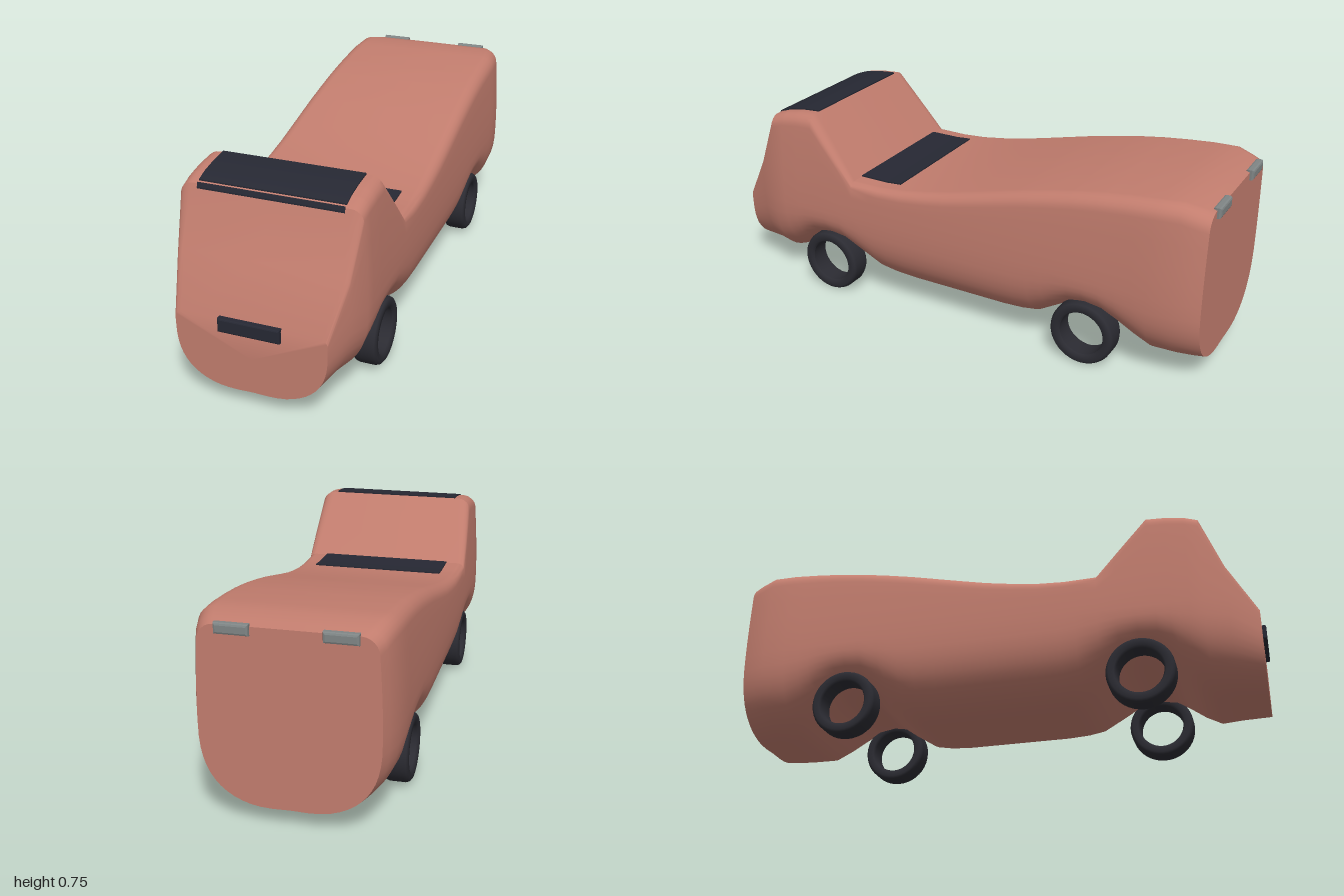
import * as THREE from 'three';
import { toCreasedNormals } from 'three/addons/utils/BufferGeometryUtils.js';

// Profiles along the length: [z, value], front to back
const TOP = [[0.985, 0.33], [0.88, 0.505], [0.8, 0.71], [0.75, 0.728], [0.68, 0.74], [0.61, 0.745], [0.42, 0.512],
  [0.3, 0.512], [0.2, 0.52], [0.1, 0.536], [0, 0.556], [-0.1, 0.58], [-0.2, 0.605], [-0.3, 0.63], [-0.4, 0.652],
  [-0.5, 0.672], [-0.6, 0.688], [-0.7, 0.7], [-0.8, 0.709], [-0.89, 0.714], [-0.985, 0.69]];
const BOTTOM = [[0.985, 0.065], [0.8, 0.065], [0.74, 0.1], [0.68, 0.15], [0.63, 0.187], [0.56, 0.2], [0.49, 0.187],
  [0.42, 0.135], [0.34, 0.082], [0.28, 0.07], [0.2, 0.065], [-0.2, 0.065], [-0.28, 0.07], [-0.34, 0.082],
  [-0.42, 0.135], [-0.49, 0.187], [-0.555, 0.2], [-0.62, 0.187], [-0.68, 0.145], [-0.74, 0.1], [-0.8, 0.065], [-0.985, 0.065]];
const WIDTH = [[0.985, 0.27], [0.8, 0.337], [0.7, 0.34], [-0.8, 0.34], [-0.89, 0.334], [-0.95, 0.318], [-0.985, 0.303]];
const CORNER = [[0.985, 0.02], [0.88, 0.025], [0.8, 0.045], [0.61, 0.05], [0.42, 0.03], [0, 0.045], [-0.985, 0.06]];

function at(profile, z) {
  for (let i = 1; i < profile.length; i++) {
    const [z0, v0] = profile[i - 1], [z1, v1] = profile[i];
    if (z >= z1) return v0 + (v1 - v0) * (z0 - z) / (z0 - z1);
  }
  return profile[profile.length - 1][1];
}

// Sides lean in towards the roof
const lean = (y) => 1 - 0.05 * Math.pow(Math.max(0, (y - 0.4) / 0.31), 1.5);

// Closed cross-section: belly curve, side wall, rounded shoulder, mirrored
function section(z) {
  const t = at(TOP, z), b = at(BOTTOM, z), w = at(WIDTH, z), r = at(CORNER, z);
  const belly = Math.min(0.36 - b, t - b - r - 0.02);
  const half = [];
  for (let i = 0; i <= 14; i++) {
    const a = (i / 14) * Math.PI / 2;
    const x = w * Math.pow(Math.sin(a), 2 / 2.7);
    const dip = 0.006 * Math.max(0, 1 - x / 0.12);
    half.push([x, b + dip + belly * (1 - Math.pow(Math.max(0, Math.cos(a)), 2 / 2.7))]);
  }
  const y0 = b + belly, y1 = t - r;
  for (let i = 1; i <= 4; i++) {
    const y = y0 + (y1 - y0) * i / 4;
    half.push([w * lean(y), y]);
  }
  const ws = w * lean(y1);
  for (let i = 1; i <= 6; i++) {
    const a = (i / 6) * Math.PI / 2;
    half.push([ws - r + r * Math.cos(a), y1 + r * Math.sin(a)]);
  }
  half.push([0, t]);
  const mirrored = half.slice(1, -1).reverse().map(([x, y]) => [-x, y]);
  return half.concat(mirrored);
}

function bodyGeometry() {
  const all = [TOP, BOTTOM, WIDTH, CORNER].flat().map((p) => p[0]);
  const stations = [...new Set(all)].sort((a, b) => b - a);
  const pos = [], index = [];
  let n = 0;
  for (const z of stations) {
    const ring = section(z);
    n = ring.length;
    for (const [x, y] of ring) pos.push(x, y, z);
  }
  const last = stations.length - 1;
  for (let i = 0; i < last; i++) {
    for (let j = 0; j < n; j++) {
      const k = (j + 1) % n;
      const a = i * n + j, b = i * n + k, c = a + n, d = b + n;
      index.push(a, c, b, b, c, d);
    }
  }
  // End caps
  const front = pos.length / 3;
  pos.push(0, 0.2, stations[0], 0, 0.4, stations[last]);
  for (let j = 0; j < n; j++) {
    const k = (j + 1) % n;
    index.push(front, j, k, front + 1, last * n + k, last * n + j);
  }
  const g = new THREE.BufferGeometry();
  g.setAttribute('position', new THREE.Float32BufferAttribute(pos, 3));
  g.setIndex(index);
  return toCreasedNormals(g, 0.6);
}

// Thin plate that follows the top of the body
function plateGeometry(zFront, zBack) {
  const g = new THREE.BoxGeometry(0.52, 0.008, zFront - zBack, 1, 1, 12);
  g.translate(0, 0, (zFront + zBack) / 2);
  const p = g.attributes.position;
  for (let i = 0; i < p.count; i++) p.setY(i, p.getY(i) + at(TOP, p.getZ(i)) + 0.001);
  g.computeVertexNormals();
  return g;
}

// Box with bevelled edges, centred
function bevelBox(w, h, d, r) {
  const x = w / 2 - r, y = h / 2 - r;
  const s = new THREE.Shape([[-x, -y], [x, -y], [x, y], [-x, y]].map(([a, b]) => new THREE.Vector2(a, b)));
  const g = new THREE.ExtrudeGeometry(s, { depth: d - 2 * r, bevelThickness: r, bevelSize: r, bevelSegments: 2 });
  return g.center();
}

export function createModel() {
  const group = new THREE.Group();
  const material = (name, color) => {
    const m = new THREE.MeshStandardMaterial({ color });
    m.name = name;
    return m;
  };
  const paint = material('clay red paint', 0xc27d6e);
  const dark = material('dark glass', 0x262833);
  const rubber = material('tyre rubber', 0x2b2b32);
  const grey = material('lamp grey', 0x7f8585);
  const add = (name, geometry, mat, x = 0, y = 0, z = 0) => {
    const mesh = new THREE.Mesh(geometry, mat);
    mesh.name = name;
    mesh.position.set(x, y, z);
    group.add(mesh);
    return mesh;
  };

  add('body', bodyGeometry(), paint);

  // Dark panels on the cab roof and on the deck behind it
  add('roofPanel', plateGeometry(0.787, 0.61), dark);
  add('roofPanelEdge', plateGeometry(0.806, 0.799), dark);
  add('deckPanel', plateGeometry(0.42, 0.24), dark);

  // Front grille and rear lamps
  add('grille', bevelBox(0.22, 0.05, 0.03, 0.005), dark, 0, 0.316, 0.985);
  for (const side of [1, -1]) {
    add(side > 0 ? 'leftRearLamp' : 'rightRearLamp', bevelBox(0.115, 0.038, 0.03, 0.008), grey, side * 0.175, 0.68, -0.985);
  }

  // Open ring tyres with rounded shoulders
  const profile = [[0.085, -0.035], [0.085, 0.035], [0.092, 0.045], [0.112, 0.045], [0.12, 0.039], [0.124, 0.028],
    [0.124, -0.028], [0.12, -0.039], [0.112, -0.045], [0.092, -0.045], [0.085, -0.035]];
  const tyre = new THREE.LatheGeometry(profile.map(([r, h]) => new THREE.Vector2(r, h)).reverse(), 40);
  tyre.rotateZ(Math.PI / 2);
  for (const [end, z] of [['front', 0.56], ['rear', -0.555]]) {
    for (const side of [1, -1]) {
      add(end + (side > 0 ? 'Left' : 'Right') + 'Wheel', tyre, rubber, side * 0.275, 0.127, z);
    }
  }
  return group;
}
